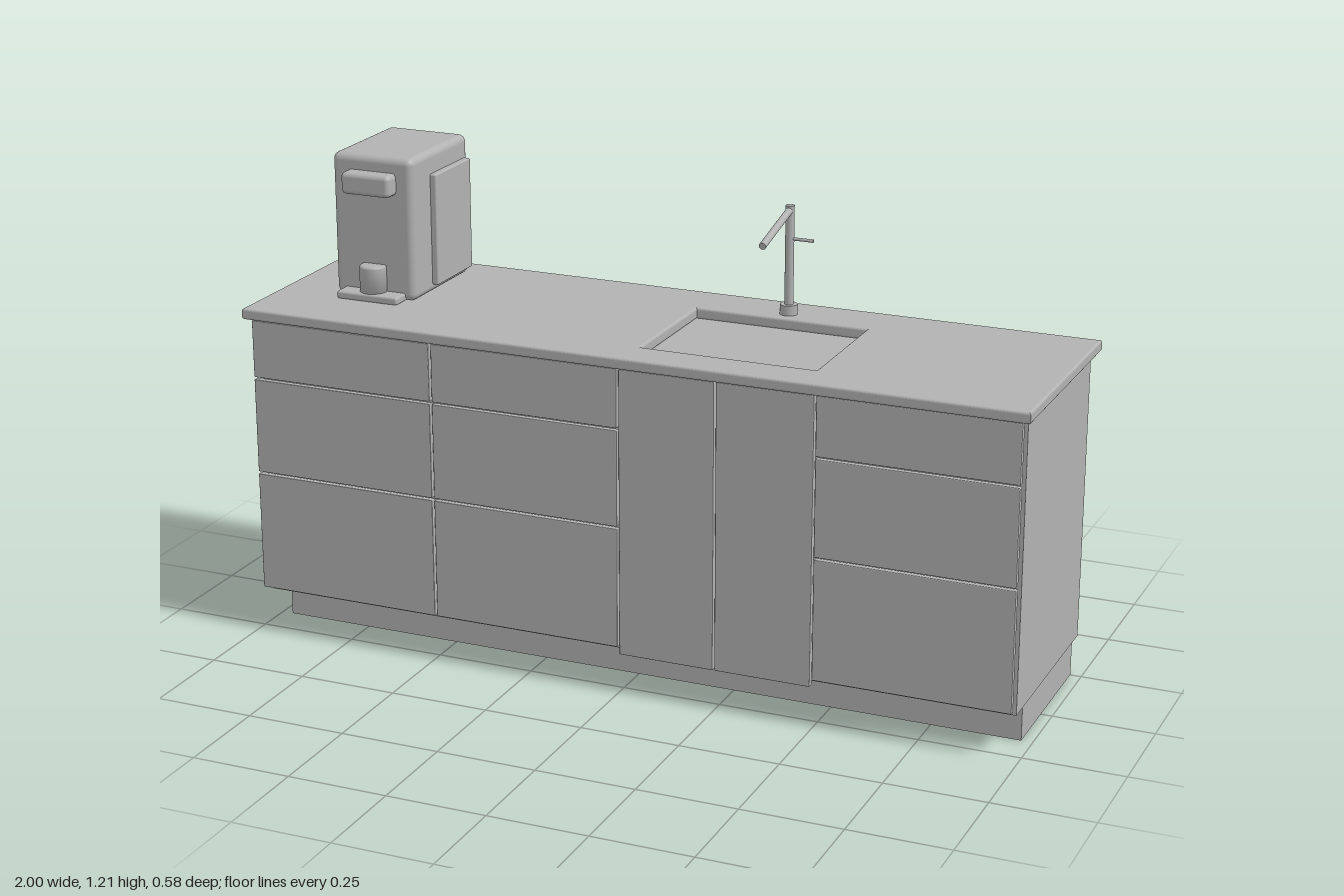
import * as THREE from 'three';
import { RoundedBoxGeometry } from 'three/addons/geometries/RoundedBoxGeometry.js';

const grey = new THREE.MeshStandardMaterial({ color: 0xb2b2b2 });
grey.name = 'plain grey';

function add(parent, name, geometry) {
  const mesh = new THREE.Mesh(geometry, grey);
  mesh.name = name;
  parent.add(mesh);
  return mesh;
}

// Box given by its limits on each axis, with optional rounded edges
function box(parent, name, [x0, x1], [y0, y1], [z0, z1], radius = 0) {
  const size = [x1 - x0, y1 - y0, z1 - z0];
  const geometry = radius
    ? new RoundedBoxGeometry(...size, 4, radius)
    : new THREE.BoxGeometry(...size);
  const mesh = add(parent, name, geometry);
  mesh.position.set((x0 + x1) / 2, (y0 + y1) / 2, (z0 + z1) / 2);
  return mesh;
}

// Round bar between two points
function rod(parent, name, from, to, radius) {
  const a = new THREE.Vector3(...from), b = new THREE.Vector3(...to);
  const dir = b.clone().sub(a);
  const mesh = add(parent, name, new THREE.CylinderGeometry(radius, radius, dir.length(), 24));
  mesh.position.copy(a).add(b).multiplyScalar(0.5);
  mesh.quaternion.setFromUnitVectors(new THREE.Vector3(0, 1, 0), dir.normalize());
  return mesh;
}

function rectangle(path, x0, x1, y0, y1) {
  return path.moveTo(x0, y0).lineTo(x1, y0).lineTo(x1, y1).lineTo(x0, y1).closePath();
}

// Slab with softened edges and a sink cut-out
function worktop(parent) {
  const b = 0.006;
  const shape = rectangle(new THREE.Shape(), -1 + b, 1 - b, -0.291 + b, 0.291 - b);
  shape.holes.push(rectangle(new THREE.Path(), 0.02 - b, 0.46 + b, -0.19 - b, 0.153 + b));
  const geometry = new THREE.ExtrudeGeometry(shape, {
    depth: 0.028 - 2 * b, bevelThickness: b, bevelSize: b, bevelSegments: 4,
  });
  geometry.rotateX(-Math.PI / 2);
  add(parent, 'worktop', geometry).position.y = 0.823 + b;
}

function cabinet(parent) {
  box(parent, 'plinth', [-0.972, 0.972], [0, 0.097], [-0.253, 0.16]);
  box(parent, 'carcass', [-0.98, 0.98], [0.097, 0.823], [-0.272, 0.237]);

  // Drawer fronts in three columns, two doors between them
  const z = [0.265, 0.281];
  const rows = [[0.118, 0.421], [0.427, 0.668], [0.674, 0.82]];
  for (const x of [[-0.98, -0.495], [-0.489, -0.003], [0.494, 0.98]])
    for (const y of rows) box(parent, 'drawerFront', x, y, z, 0.002);
  for (const x of [[0.002, 0.243], [0.248, 0.489]])
    box(parent, 'doorFront', x, [0.1, 0.82], z, 0.002);
}

function tap(parent) {
  const x = 0.243, z = -0.197;
  rod(parent, 'tapBase', [x, 0.848, z], [x, 0.876, z], 0.022);
  rod(parent, 'tapColumn', [x, 0.87, z], [x, 1.123, z], 0.011);
  rod(parent, 'tapSpout', [x, 1.112, z], [x, 1.067, -0.016], 0.009);
  rod(parent, 'tapLever', [x, 1.04, z], [0.304, 1.04, z], 0.004);
}

function coffeeMachine(parent) {
  box(parent, 'machineBody', [-0.856, -0.636], [0.85, 1.209], [-0.225, 0.076], 0.018);
  box(parent, 'sidePanel', [-0.645, -0.62], [0.87, 1.152], [-0.207, -0.019], 0.004);
  box(parent, 'frontHead', [-0.813, -0.68], [1.116, 1.171], [0.05, 0.115], 0.012);
  box(parent, 'dripTray', [-0.83, -0.663], [0.85, 0.87], [0.04, 0.122], 0.006);

  // Cup with a softened rim
  const profile = [[0, 0], [0.034, 0], [0.034, 0.062], [0.0325, 0.066], [0.029, 0.068], [0, 0.068]];
  const cup = add(parent, 'cup',
    new THREE.LatheGeometry(profile.map((p) => new THREE.Vector2(...p)), 32));
  cup.position.set(-0.746, 0.869, 0.084);
}

export function createModel() {
  const model = new THREE.Group();
  model.name = 'kitchenUnit';
  const parts = { cabinet, worktop, tap, coffeeMachine };
  for (const [name, build] of Object.entries(parts)) {
    const group = new THREE.Group();
    group.name = name + 'Group';
    build(group);
    model.add(group);
  }
  return model;
}
